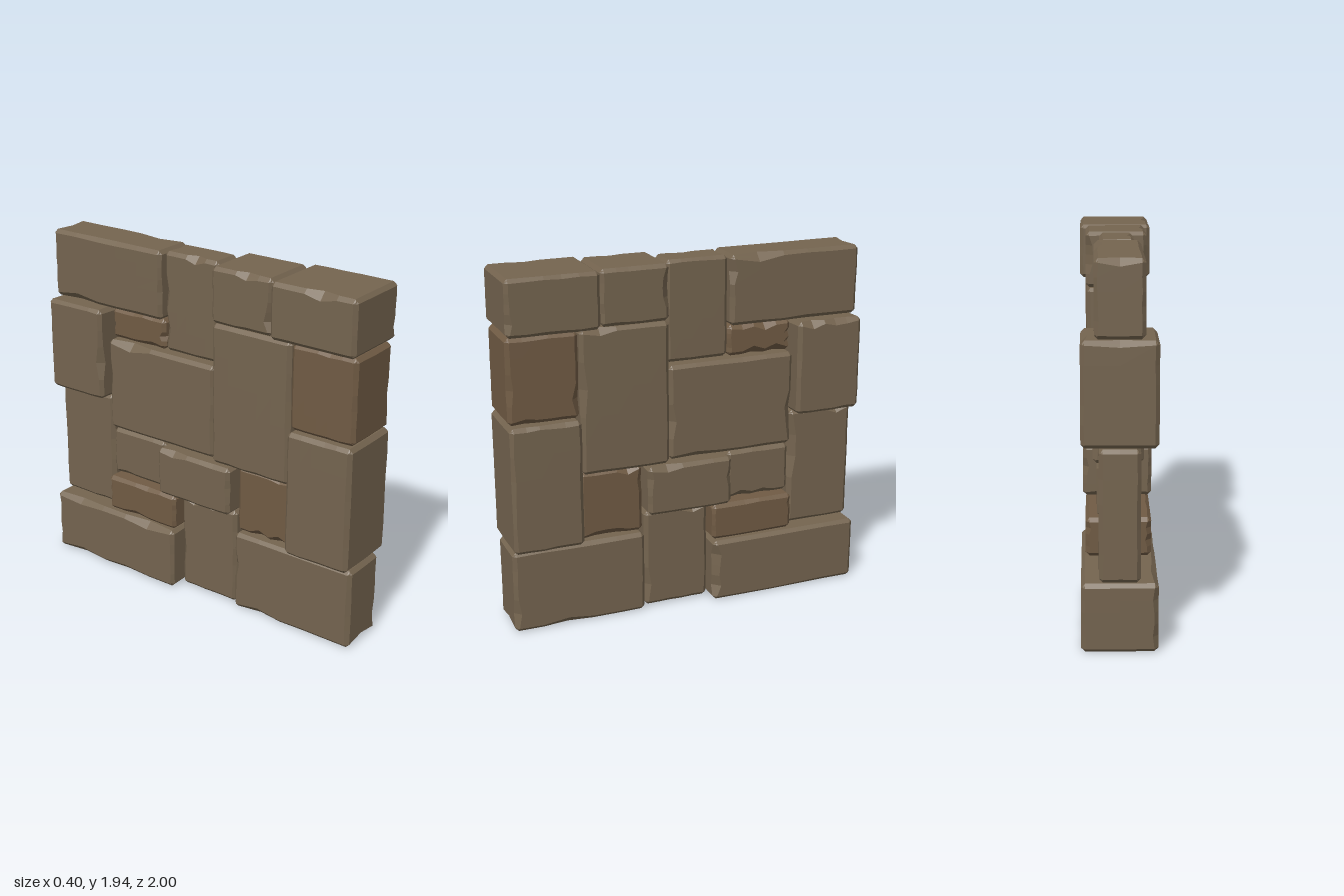
import * as THREE from 'three';

const BEVEL = 0.02;
const SEGMENTS = [4, 7, 7];

// Repeatable pseudo-random value in 0..1
function hash(...values) {
  let h = 17;
  for (const v of values) h = (Math.imul(h ^ (v + 31), 0x9e3779b1) ^ (h >>> 15)) >>> 0;
  h = Math.imul(h ^ (h >>> 16), 0x85ebca6b) >>> 0;
  return ((h ^ (h >>> 13)) >>> 0) / 4294967296;
}

// Bevel width at one station along an edge: mostly even, sometimes chipped
function bevelAt(seed, a, b, signs, station) {
  const [p, q] = a < b ? [a, b] : [b, a];
  const key = [seed, p, q, signs[p], signs[q]];
  const chippedEdge = hash(...key) < 0.45;
  const r = hash(...key, station + 7);
  return BEVEL * (chippedEdge && r < 0.35 ? 1.4 + r * 2.5 : 0.75 + 0.4 * r);
}

// Stone block with chamfered, irregularly chipped edges
function stoneGeometry(half, seed) {
  const g = new THREE.BoxGeometry(...half.map(h => 2 * h), ...SEGMENTS);
  const pos = g.attributes.position;
  for (let v = 0; v < pos.count; v++) {
    const p = [pos.getX(v), pos.getY(v), pos.getZ(v)];
    const idx = p.map((c, k) => Math.round((c / half[k] + 1) / 2 * SEGMENTS[k]));
    const signs = p.map(c => (c < 0 ? 0 : 1));
    const outer = [], near = [], mid = [];
    const out = idx.map((i, k) => {
      const n = SEGMENTS[k], inner = half[k] - BEVEL;
      if (i === 0 || i === n) { outer.push(k); return half[k] * (i ? 1 : -1); }
      if (i === 1 || i === n - 1) near.push(k); else mid.push(k);
      return inner * (2 * (i - 1) / (n - 2) - 1);
    });
    const inset = (k, d) => { out[k] = (signs[k] ? 1 : -1) * (half[k] - d); };
    if (outer.length === 3) {
      outer.forEach(k => inset(k, BEVEL * 0.6));
    } else if (outer.length === 2) {
      const along = near[0] ?? mid[0];
      const c = near.length ? BEVEL : bevelAt(seed, outer[0], outer[1], signs, idx[along]);
      outer.forEach(k => inset(k, c / 2));
    } else if (near.length === 1) {
      inset(near[0], bevelAt(seed, outer[0], near[0], signs, idx[mid[0]]));
    }
    pos.setXYZ(v, ...out);
  }
  g.computeVertexNormals();
  return g;
}

export function createModel() {
  const wall = new THREE.Group();
  wall.name = 'stoneWall';
  const stone = new THREE.MeshStandardMaterial({ color: 0x74644f, flatShading: true });
  const warmStone = new THREE.MeshStandardMaterial({ color: 0x705b44, flatShading: true });

  // Each stone: z from, z to, y from, y to, half thickness, warm tint
  const stones = [
    // top course
    [0.505, 1, 1.64, 1.94, 0.198],
    [0.12, 0.495, 1.64, 1.94, 0.165],
    [-0.24, 0.11, 1.39, 1.94, 0.092],
    [-1, -0.245, 1.56, 1.94, 0.122],
    // upper middle
    [0.62, 1, 1.175, 1.635, 0.168, true],
    [0.12, 0.61, 0.85, 1.635, 0.16],
    [-0.615, -0.245, 1.385, 1.555, 0.09, true],
    [-1, -0.62, 1.035, 1.555, 0.188],
    [-0.615, 0.11, 0.855, 1.38, 0.13],
    // lower middle
    [0.615, 1, 0.47, 1.165, 0.19],
    [0.26, 0.61, 0.465, 0.845, 0.11, true],
    [-0.235, 0.25, 0.57, 0.845, 0.183],
    [-0.61, -0.24, 0.57, 0.845, 0.11],
    [-1, -0.62, 0.36, 1.03, 0.102],
    [-0.61, -0.13, 0.36, 0.565, 0.168, true],
    // bottom course
    [0.26, 1, 0, 0.46, 0.14],
    [-0.12, 0.25, 0.005, 0.565, 0.112],
    [-1, -0.13, 0, 0.355, 0.19],
  ];

  stones.forEach(([z0, z1, y0, y1, hx, warm], i) => {
    const geometry = stoneGeometry([hx, (y1 - y0) / 2, (z1 - z0) / 2], i + 1);
    const mesh = new THREE.Mesh(geometry, warm ? warmStone : stone);
    mesh.name = `stone${i + 1}`;
    mesh.position.set(0, (y0 + y1) / 2, (z0 + z1) / 2);
    wall.add(mesh);
  });
  return wall;
}
